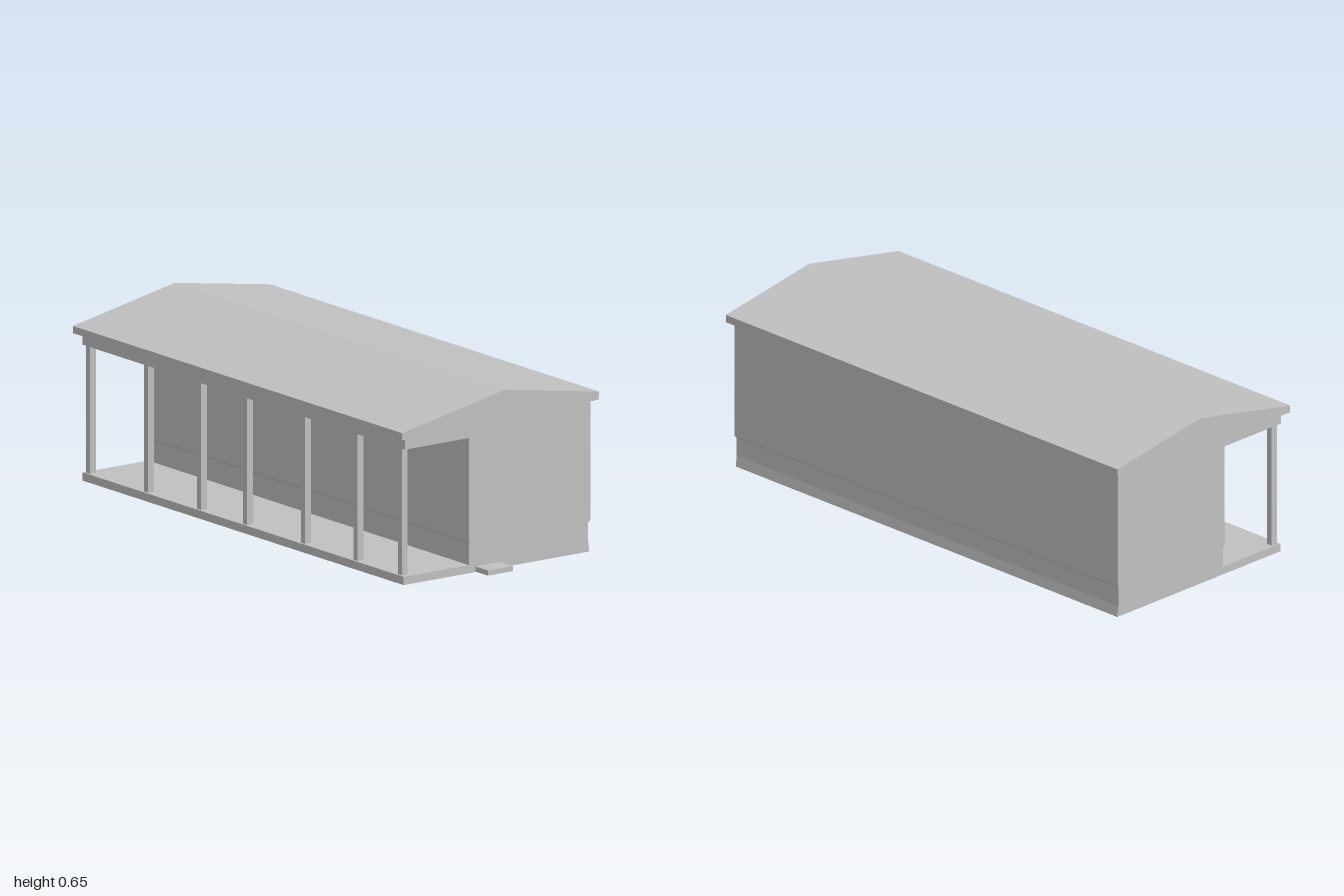
import * as THREE from 'three';

const grey = new THREE.MeshStandardMaterial({ color: 0xc0c0c0 });
grey.name = 'plain grey';

export function createModel() {
  const group = new THREE.Group();

  const add = (name, geometry) => {
    const mesh = new THREE.Mesh(geometry, grey);
    mesh.name = name;
    group.add(mesh);
  };

  // Box given by its limits on each axis
  const box = (name, x0, x1, y0, y1, z0, z1) => {
    const g = new THREE.BoxGeometry(x1 - x0, y1 - y0, z1 - z0);
    g.translate((x0 + x1) / 2, (y0 + y1) / 2, (z0 + z1) / 2);
    add(name, g);
  };

  // Cross-section of [z, y] points run along x
  const run = (name, points, x0, x1) => {
    const shape = new THREE.Shape(points.map(([z, y]) => new THREE.Vector2(z, y)));
    const g = new THREE.ExtrudeGeometry(shape, { depth: x1 - x0, bevelEnabled: false });
    g.rotateY(-Math.PI / 2);
    g.translate(x1, 0, 0);
    add(name, g);
  };

  // Porch floor slab
  box('floor', -0.975, 0.925, 0, 0.03, 0.1, 0.41);

  // Lower wall, slightly flared at the ground
  run('lowerWall', [
    [0.122, 0], [0.122, 0.115], [-0.405, 0.115], [-0.405, 0.04], [-0.41, 0],
  ], -0.975, 0.925);

  // Upper wall with gables, carried forward over the porch as ceiling and beam
  run('upperWall', [
    [0.126, 0.117], [0.122, 0.11], [-0.405, 0.11], [-0.411, 0.117],
    [-0.411, 0.556], [-0.015, 0.616], [0.36, 0.542], [0.408, 0.538],
    [0.408, 0.495], [0.124, 0.495],
  ], -0.98, 0.93);

  // Pitched roof with overhanging eaves
  run('roof', [
    [0.435, 0.537], [0.435, 0.563], [-0.015, 0.653], [-0.435, 0.585],
    [-0.435, 0.557], [-0.405, 0.555], [-0.015, 0.615], [0.36, 0.541],
    [0.405, 0.537],
  ], -1, 0.95);

  // Porch posts
  for (const x of [-0.954, -0.61, -0.297, -0.024, 0.318, 0.629, 0.892]) {
    box('porchPost', x - 0.012, x + 0.012, 0.03, 0.495, 0.376, 0.402);
  }

  // Entrance step at the left end
  box('step', 0.92, 1, 0.002, 0.021, -0.017, 0.093);

  return group;
}
